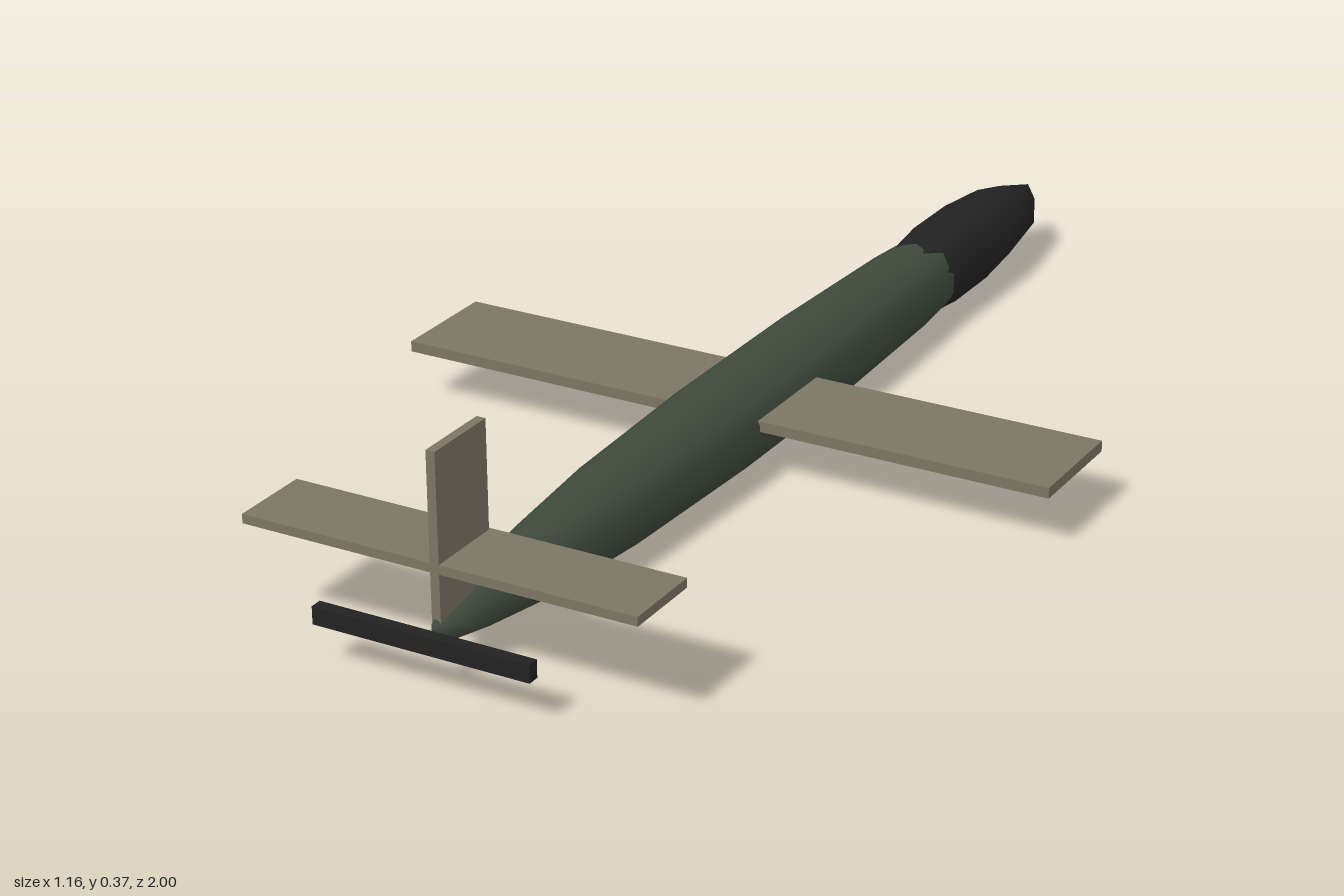
import * as THREE from 'three';

const paint = (name, color) => {
  const m = new THREE.MeshStandardMaterial({ color });
  m.name = name;
  return m;
};

export function createModel() {
  const green = paint('dark green', 0x3f4a3c);
  const tan = paint('grey tan', 0x7b7564);
  const black = paint('near black', 0x222222);
  const model = new THREE.Group();
  model.name = 'droneAircraft';

  const add = (name, geometry, material) => {
    const mesh = new THREE.Mesh(geometry, material);
    mesh.name = name;
    model.add(mesh);
  };

  // Stretched low-segment sphere, with a vertex column pointing along z
  const hull = (name, material, around, rings, radius, halfLength, y, z) => {
    const g = new THREE.SphereGeometry(1, around, rings);
    g.rotateY(Math.PI / 2).scale(radius, radius, halfLength).translate(0, y, z);
    add(name, g, material);
  };

  // Flat panel given by its limits on each axis
  const panel = (name, material, halfSpan, y0, y1, z0, z1) => {
    const g = new THREE.BoxGeometry(halfSpan * 2, y1 - y0, z1 - z0);
    g.translate(0, (y0 + y1) / 2, (z0 + z1) / 2);
    add(name, g, material);
  };

  // Body and nose cone
  hull('fuselage', green, 14, 7, 0.083, 0.993, 0.084, 0);
  hull('noseCone', black, 10, 5, 0.075, 0.336, 0.086, -0.68);

  // Flying surfaces
  panel('wing', tan, 0.58, 0.092, 0.11, -0.04, 0.155);
  panel('tailplane', tan, 0.332, 0.177, 0.192, 0.82, 0.955);
  panel('tailFin', tan, 0.0075, 0.1, 0.367, 0.825, 0.955);

  // Pusher propeller
  panel('propeller', black, 0.183, 0.071, 0.1, 0.98, 1.0);

  return model;
}
